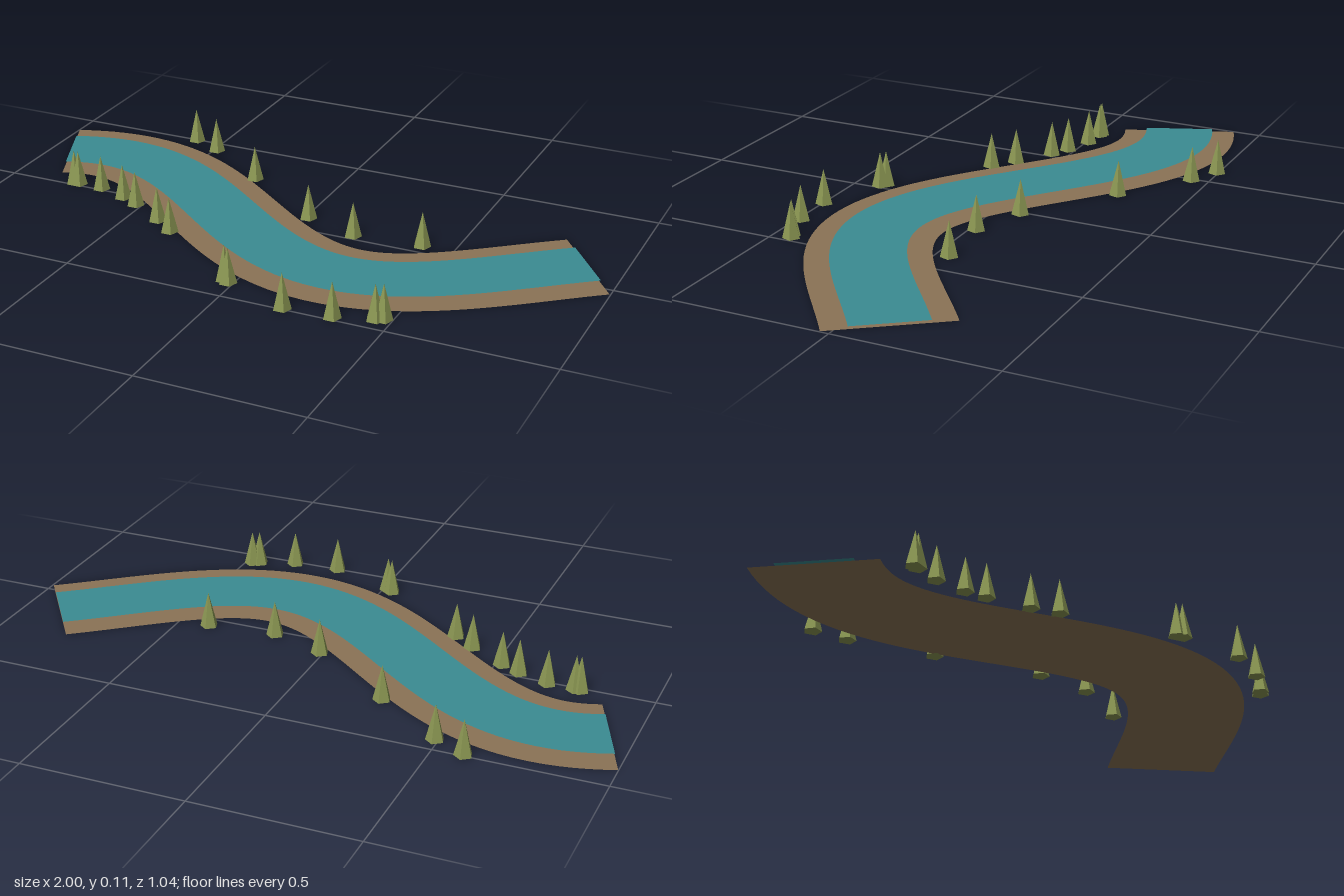
import * as THREE from 'three';

const START = -0.93, END = 0.888, STEPS = 64;

// Meandering centre line: a sine bend crossing from the back to the front
const bendZ = (x) => -0.017 - 0.257 * Math.cos(((x + 0.76) / 1.01) * Math.PI);
const bendSlope = (x) => 0.257 * (Math.PI / 1.01) * Math.sin(((x + 0.76) / 1.01) * Math.PI);

// Flat strip of constant width that follows the centre line
function ribbon(halfWidth, y) {
  const positions = [], normals = [], indices = [];
  for (let i = 0; i <= STEPS; i++) {
    const x = START + ((END - START) * i) / STEPS;
    const z = bendZ(x), s = bendSlope(x), len = Math.hypot(1, s);
    for (const side of [-1, 1]) {
      positions.push(x - (side * halfWidth * s) / len, y, z + (side * halfWidth) / len);
      normals.push(0, 1, 0);
    }
    if (i < STEPS) {
      const a = i * 2;
      indices.push(a, a + 1, a + 2, a + 1, a + 3, a + 2);
    }
  }
  const geometry = new THREE.BufferGeometry();
  geometry.setAttribute('position', new THREE.Float32BufferAttribute(positions, 3));
  geometry.setAttribute('normal', new THREE.Float32BufferAttribute(normals, 3));
  geometry.setIndex(indices);
  return geometry;
}

export function createModel() {
  const earth = new THREE.MeshStandardMaterial({ name: 'earth', color: 0x8b7355, side: THREE.DoubleSide });
  const water = new THREE.MeshStandardMaterial({ name: 'water', color: 0x3a8c92, side: THREE.DoubleSide });
  const foliage = new THREE.MeshStandardMaterial({ name: 'foliage', color: 0x8a9652, flatShading: true });

  const model = new THREE.Group();
  model.name = 'riverBend';

  // River bed showing as a bank on both sides, with the water just above it
  const bank = new THREE.Mesh(ribbon(0.184, 0), earth);
  bank.name = 'riverBank';
  const surface = new THREE.Mesh(ribbon(0.111, 0.008), water);
  surface.name = 'waterSurface';
  model.add(bank, surface);

  // Five-sided conifers scattered along each bank, as [x, z]
  const backTrees = [[-0.59, -0.495], [-0.49, -0.445], [-0.27, -0.285], [0.01, -0.083], [0.185, -0.022], [0.4, -0.043]];
  const frontTrees = [
    [-0.78, -0.014], [-0.765, -0.014], [-0.68, -0.01], [-0.583, 0.022], [-0.521, 0.053], [-0.403, 0.127], [-0.332, 0.181],
    [-0.034, 0.403], [-0.017, 0.415], [0.192, 0.495], [0.34, 0.486], [0.453, 0.448], [0.474, 0.438],
  ];
  const cone = new THREE.ConeGeometry(0.028, 0.112, 5).rotateY(Math.PI).translate(0, 0.056, 0);
  for (const [name, spots] of [['backTrees', backTrees], ['frontTrees', frontTrees]]) {
    const row = new THREE.Group();
    row.name = name;
    for (const [x, z] of spots) {
      const tree = new THREE.Mesh(cone, foliage);
      tree.name = 'conifer';
      tree.position.set(x, 0, z);
      row.add(tree);
    }
    model.add(row);
  }
  return model;
}
